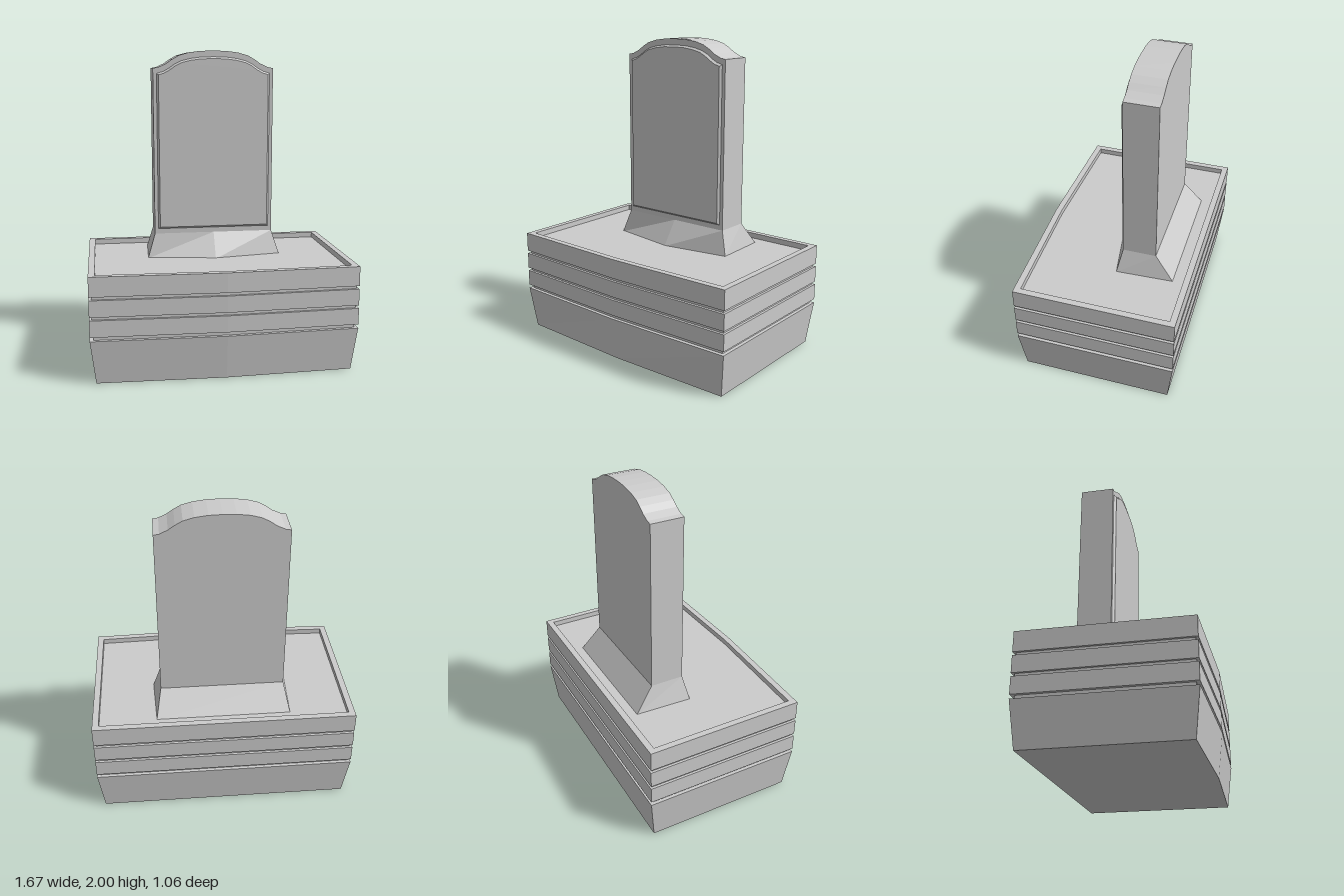
import * as THREE from 'three';

const material = new THREE.MeshStandardMaterial({ color: 0xcccccc, flatShading: true });

// Closed solid through stacked rings of [x, y, z] points, capped at both ends
function loft(rings) {
  const pos = [];
  const tri = (...pts) => pts.forEach((p) => pos.push(...p));
  const centre = (ring) => [0, 1, 2].map((k) => ring.reduce((s, p) => s + p[k], 0) / ring.length);
  const n = rings[0].length;
  const first = rings[0], last = rings[rings.length - 1];
  for (let j = 0; j < n; j++) {
    const k = (j + 1) % n;
    for (let i = 0; i < rings.length - 1; i++) {
      const lo = rings[i], hi = rings[i + 1];
      tri(lo[j], lo[k], hi[k]);
      tri(lo[j], hi[k], hi[j]);
    }
    tri(first[k], first[j], centre(first));
    tri(last[j], last[k], centre(last));
  }
  const geometry = new THREE.BufferGeometry();
  geometry.setAttribute('position', new THREE.Float32BufferAttribute(pos, 3));
  geometry.computeVertexNormals();
  return geometry;
}

// Five-cornered plan: straight back and sides, front peaked at the middle
const plan = (y, x, back, corner, peak, backX = x) => [
  [0, y, peak], [x, y, corner], [backX, y, back], [-backX, y, back], [-x, y, corner],
];
const basePlan = (y, inset) => plan(y, 0.835 - inset, -0.53 + inset, 0.505 - inset, 0.53 - inset);

// Outline with a straight foot and a mirrored ogee top, given from side to middle
function stoneShape(bottom, top) {
  const side = top[0][0];
  const mirrored = top.slice(0, -1).reverse().map(([x, y]) => [-x, y]);
  const points = [[-side, bottom], [side, bottom], ...top, ...mirrored];
  return new THREE.Shape(points.map(([x, y]) => new THREE.Vector2(x, y)));
}

export function createModel() {
  const model = new THREE.Group();
  model.name = 'gravestone';
  const add = (name, geometry, z = 0) => {
    const mesh = new THREE.Mesh(geometry, material);
    mesh.name = name;
    mesh.position.z = z;
    model.add(mesh);
  };

  // Plinth: tapered foot, three slabs parted by grooves, rim and sunken top
  const profile = [
    [0, 0.033], [0.28, 0],
    [0.28, 0.022], [0.305, 0.022], [0.305, 0],
    [0.41, 0], [0.41, 0.016], [0.43, 0.016], [0.43, 0],
    [0.535, 0], [0.535, 0.016], [0.555, 0.016], [0.555, 0],
    [0.68, 0], [0.68, 0.04], [0.645, 0.04],
  ];
  add('plinth', loft(profile.map(([y, inset]) => basePlan(y, inset))));

  // Flared skirt at the foot of the tablet
  add('skirt', loft([
    plan(0.64, 0.445, -0.42, -0.047, 0.028, 0.43),
    plan(0.80, 0.395, -0.295, -0.08, -0.08),
  ]));

  // Upright tablet
  const tablet = stoneShape(0.79, [
    [0.395, 1.888], [0.36, 1.894], [0.31, 1.917], [0.27, 1.945],
    [0.225, 1.97], [0.16, 1.988], [0.08, 1.998], [0, 2],
  ]);
  add('tablet', new THREE.ExtrudeGeometry(tablet, { depth: 0.215, bevelEnabled: false }), -0.295);

  // Raised bevelled panel on the front
  const panel = stoneShape(0.845, [
    [0.36, 1.846], [0.325, 1.856], [0.285, 1.878], [0.25, 1.903],
    [0.21, 1.923], [0.15, 1.938], [0.08, 1.947], [0, 1.949],
  ]);
  add('frontPanel', new THREE.ExtrudeGeometry(panel, {
    depth: 0.02, bevelSize: 0.012, bevelThickness: 0.015, bevelSegments: 1,
  }), -0.1);

  return model;
}
